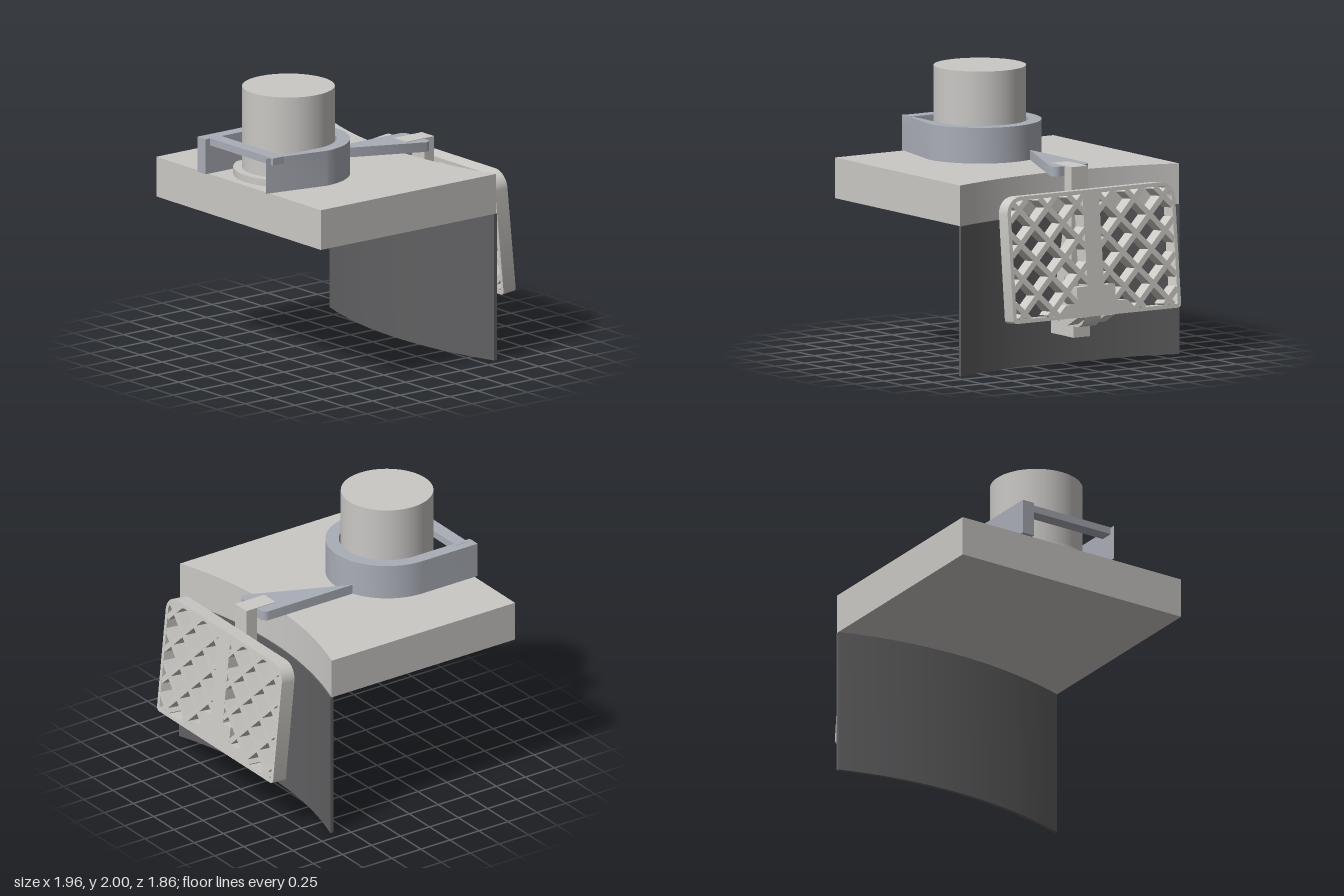
import * as THREE from 'three';
import { toCreasedNormals } from 'three/addons/utils/BufferGeometryUtils.js';

const flat = (name, color) => {
  const m = new THREE.MeshStandardMaterial({ color });
  m.name = name;
  return m;
};

export function createModel() {
  const model = new THREE.Group();
  const stone = flat('warm grey', 0xcac8c5);
  const plastic = flat('pale grey', 0xcdcbc6);
  const steel = flat('blue grey', 0xa9adb6);
  const dark = flat('dark grey', 0x606062);

  const add = (name, geo, mat, parent = model) => {
    const mesh = new THREE.Mesh(geo, mat);
    mesh.name = name;
    parent.add(mesh);
    return mesh;
  };
  const extrude = (shape, depth) => toCreasedNormals(
    new THREE.ExtrudeGeometry(shape, { depth, bevelEnabled: false, curveSegments: 32 }), 0.5);
  // Outline seen from above, raised from y0 to y1
  const plan = (shape, y0, y1) => extrude(shape, y1 - y0).rotateX(-Math.PI / 2).translate(0, y0, 0);
  // Outline seen from the front, spanning z0 to z1
  const side = (shape, z0, z1) => extrude(shape, z1 - z0).translate(0, 0, z0);
  const poly = (pts) => new THREE.Shape(pts.map(([x, y]) => new THREE.Vector2(x, y)));
  const box = (x0, x1, y0, y1, z0, z1) => new THREE.BoxGeometry(x1 - x0, y1 - y0, z1 - z0)
    .translate((x0 + x1) / 2, (y0 + y1) / 2, (z0 + z1) / 2);
  const post = (r, y0, y1) => new THREE.CylinderGeometry(r, r, y1 - y0, 64)
    .translate(-0.51, (y0 + y1) / 2, 0);

  // Slab with a concave end
  const half = 0.93, R = 2.867, sweep = Math.asin(half / R);
  const slab = new THREE.Shape();
  slab.moveTo(-0.96, half);
  slab.lineTo(-0.96, -half);
  slab.absarc(3.332, 0, R, Math.PI + sweep, Math.PI - sweep, true);
  add('slab', plan(slab, 1.07, 1.36), stone);

  // Curved apron hanging beneath the slab
  const outerR = R + 0.025, outerSweep = Math.asin(half / outerR);
  const apron = new THREE.Shape();
  apron.absarc(3.342, 0, R, Math.PI + sweep, Math.PI - sweep, true);
  apron.absarc(3.342, 0, outerR, Math.PI - outerSweep, Math.PI + outerSweep, false);
  add('curvedApron', plan(apron, 0, 1.07), dark);

  // Round post and its foot
  add('post', post(0.327, 1.36, 2), stone);
  add('postFoot', post(0.39, 1.36, 1.41), stone);

  // U-shaped collar, cross bar and arm
  const collar = new THREE.Shape();
  collar.moveTo(-0.985, -0.435);
  collar.absarc(-0.51, 0, 0.435, -Math.PI / 2, Math.PI / 2, false);
  collar.lineTo(-0.985, 0.435);
  collar.lineTo(-0.985, 0.34);
  collar.absarc(-0.51, 0, 0.34, Math.PI / 2, -Math.PI / 2, true);
  collar.lineTo(-0.985, -0.34);
  add('collar', plan(collar, 1.36, 1.615), steel);
  add('crossBar', box(-0.945, -0.845, 1.565, 1.617, -0.37, 0.37), steel);
  const arm = new THREE.Shape();
  arm.moveTo(-0.11, -0.155);
  arm.absarc(0.61, -0.105, 0.05, -Math.PI / 2, 0, false);
  arm.absarc(0.61, 0.105, 0.05, 0, Math.PI / 2, false);
  arm.lineTo(-0.11, 0.155);
  add('arm', plan(arm, 1.36, 1.43), steel);

  // Hanging bracket: hook, strap, slanted brace and foot
  const bracket = new THREE.Group();
  bracket.name = 'bracket';
  model.add(bracket);
  add('hook', box(0.5, 0.75, 1.385, 1.434, -0.07, 0.07), plastic, bracket);
  add('strap', box(0.66, 0.75, 0.42, 1.433, -0.07, 0.07), plastic, bracket);
  add('brace', side(poly([[0.66, 1.06], [0.495, 0.32], [0.585, 0.32], [0.66, 0.65]]), -0.07, 0.07), plastic, bracket);
  add('bracketFoot', box(0.49, 0.775, 0.22, 0.32, -0.07, 0.07), plastic, bracket);

  // Hinge knuckle and the cheeks either side of it
  const barrel = (r, z0, z1) => new THREE.CylinderGeometry(r, r, z1 - z0, 40)
    .rotateX(Math.PI / 2).translate(0.805, 0.415, (z0 + z1) / 2);
  add('hingeKnuckle', barrel(0.115, -0.07, 0.07), plastic);
  for (const [name, z] of [['rightCheek', -0.16], ['leftCheek', 0.075]]) {
    add(name, barrel(0.095, z, z + 0.085), plastic);
    add(name + 'Lug', side(poly([[0.765, 0.501], [0.845, 0.329], [0.955, 0.39], [0.86, 0.555]]), z, z + 0.085), plastic);
  }

  // Tilted lattice pad
  const W = 0.713, H = 0.895, D = 0.11, wall = 0.028;
  const pad = new THREE.Group();
  pad.name = 'latticePad';
  pad.position.set(0.865, 0.385, 0);
  pad.rotation.z = 0.1;
  model.add(pad);
  const face = new THREE.Group();
  face.name = 'padFace';
  face.rotation.y = Math.PI / 2;
  pad.add(face);

  // Rounded outline, larger radius at the top
  const trace = (path, inset) => {
    const w = W - inset, b = inset, t = H - inset, rt = 0.12 - inset, rb = Math.max(0.03 - inset, 0.008);
    path.moveTo(-w + rb, b);
    path.absarc(w - rb, b + rb, rb, -Math.PI / 2, 0, false);
    path.absarc(w - rt, t - rt, rt, 0, Math.PI / 2, false);
    path.absarc(-w + rt, t - rt, rt, Math.PI / 2, Math.PI, false);
    path.absarc(-w + rb, b + rb, rb, Math.PI, Math.PI * 1.5, false);
    return path;
  };
  const rim = trace(new THREE.Shape(), 0);
  rim.holes.push(trace(new THREE.Path(), wall));
  add('padRim', extrude(rim, D), plastic, face);
  add('padSpine', box(-0.07, 0.07, 0.01, H - 0.01, 0, D), plastic, face);
  add('padMount', box(-0.163, 0.163, 0.01, 0.215, 0, D), plastic, face);
  for (const s of [-1, 1]) {
    const fillet = poly([[s * 0.16, 0.02], [s * 0.34, 0.02], [s * 0.26, 0.095], [s * 0.16, 0.095]]);
    add('mountFillet', extrude(fillet, D), plastic, face);
  }

  // Diagonal bars, each cut off inside the rim
  const inside = (x, y) => {
    const w = W - 0.022, t = H - 0.022, r = 0.1;
    if (Math.abs(x) > w || y < 0.022 || y > t) return false;
    const dx = Math.abs(x) - (w - r), dy = y - (t - r);
    return dx < 0 || dy < 0 || Math.hypot(dx, dy) < r;
  };
  const pitch = 0.245, barWidth = 0.04;
  for (const s of [-1, 1]) {
    for (let k = -7; k <= 7; k++) {
      const x0 = 0.1225 + k * pitch, y0 = 0.065;
      let a = null, b = null;
      for (let t = -0.1; t < 1; t += 0.004) {
        if (inside(x0 + s * t, y0 + t)) {
          a ??= t;
          b = t;
        }
      }
      if (a === null || b - a < 0.04) continue;
      const m = (a + b) / 2;
      const bar = new THREE.BoxGeometry((b - a) * Math.SQRT2, barWidth, D - 0.002)
        .rotateZ(s * Math.PI / 4).translate(x0 + s * m, y0 + m, D / 2);
      add('latticeBar', bar, plastic, face);
    }
  }
  return model;
}
